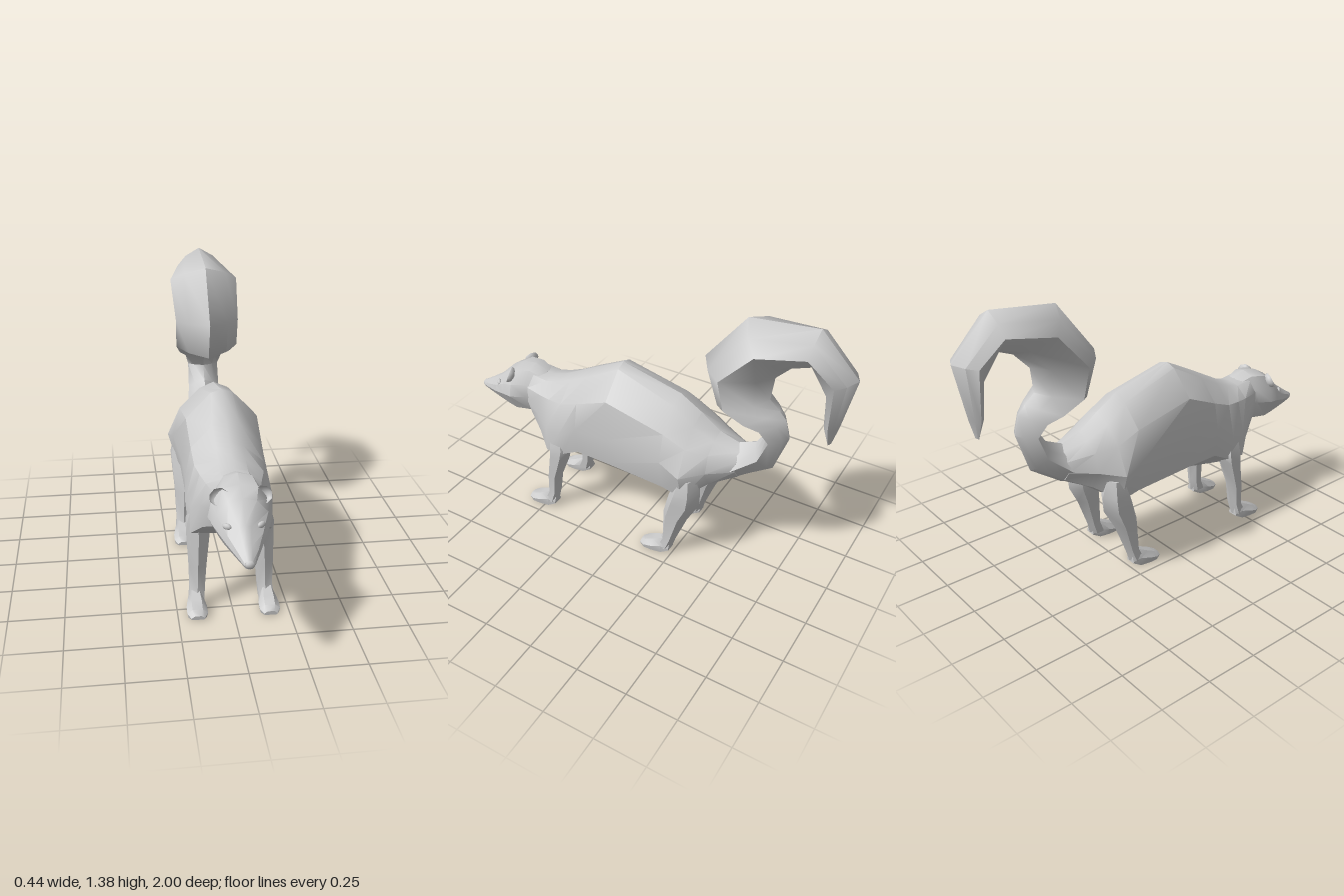
import * as THREE from 'three';
import { toCreasedNormals } from 'three/addons/utils/BufferGeometryUtils.js';

const material = new THREE.MeshStandardMaterial({ color: 0xcccccc });
const thinMaterial = new THREE.MeshStandardMaterial({ color: 0xcccccc, side: THREE.DoubleSide });

// Skin a list of equal-length rings of [x, y, z] points and close both ends.
function loft(rings, crease = 0.6) {
  const n = rings[0].length;
  const points = rings.flat();
  const tris = [];
  for (let i = 0; i < rings.length - 1; i++) {
    for (let j = 0; j < n; j++) {
      const a = i * n + j, b = i * n + (j + 1) % n;
      tris.push([a, b, a + n], [b, b + n, a + n]);
    }
  }
  for (const end of [0, rings.length - 1]) {
    const centre = [0, 1, 2].map(k => rings[end].reduce((s, p) => s + p[k], 0) / n);
    const c = points.push(centre) - 1;
    for (let j = 0; j < n; j++) {
      const a = end * n + j, b = end * n + (j + 1) % n;
      tris.push(end === 0 ? [c, b, a] : [c, a, b]);
    }
  }
  // Turn the faces outward if the enclosed volume comes out negative.
  const v = points.map(p => new THREE.Vector3(...p));
  const volume = tris.reduce((s, [a, b, c]) => s + v[a].dot(v[b].clone().cross(v[c])), 0);
  if (volume < 0) tris.forEach(t => t.reverse());
  const geometry = new THREE.BufferGeometry();
  geometry.setAttribute('position', new THREE.Float32BufferAttribute(points.flat(), 3));
  geometry.setIndex(tris.flat());
  return toCreasedNormals(geometry, crease);
}

// Complete a ring from its half at x >= 0, listed from top to bottom.
function mirrorRing(half) {
  return [...half, ...half.slice(1, -1).reverse().map(([x, y, z]) => [-x, y, z])];
}

function add(parent, name, geometry, mat = material) {
  const mesh = new THREE.Mesh(geometry, mat);
  mesh.name = name;
  parent.add(mesh);
  return mesh;
}

// Body stations: z, top y, then (x, y) of back, rib, flank and belly edges, bottom y
const BODY = [
  [0.63, 0.71, 0.06, 0.70, 0.10, 0.64, 0.105, 0.56, 0.08, 0.48, 0.46],
  [0.54, 0.70, 0.06, 0.69, 0.12, 0.64, 0.145, 0.54, 0.135, 0.435, 0.41],
  [0.47, 0.722, 0.06, 0.71, 0.14, 0.65, 0.18, 0.50, 0.183, 0.37, 0.36],
  [0.39, 0.765, 0.06, 0.745, 0.155, 0.66, 0.197, 0.49, 0.185, 0.37, 0.335],
  [0.29, 0.82, 0.065, 0.80, 0.16, 0.70, 0.187, 0.56, 0.172, 0.42, 0.29],
  [0.12, 0.91, 0.05, 0.895, 0.165, 0.775, 0.187, 0.57, 0.175, 0.42, 0.30],
  [-0.19, 0.84, 0.07, 0.81, 0.168, 0.71, 0.202, 0.57, 0.168, 0.40, 0.32],
  [-0.30, 0.775, 0.08, 0.74, 0.16, 0.66, 0.22, 0.53, 0.18, 0.39, 0.365],
  [-0.40, 0.705, 0.065, 0.685, 0.12, 0.64, 0.145, 0.55, 0.10, 0.46, 0.435],
  [-0.52, 0.67, 0.04, 0.655, 0.075, 0.62, 0.085, 0.57, 0.05, 0.52, 0.50],
];

// Tail stations: (z, y) of outer edge, side ridge and inner edge, half width
const TAIL = [
  [-0.40, 0.69, -0.40, 0.58, -0.40, 0.46, 0.11],
  [-0.48, 0.67, -0.50, 0.57, -0.51, 0.49, 0.095],
  [-0.58, 0.717, -0.62, 0.67, -0.668, 0.60, 0.08],
  [-0.625, 0.785, -0.665, 0.785, -0.733, 0.79, 0.078],
  [-0.59, 0.853, -0.625, 0.845, -0.71, 0.88, 0.095],
  [-0.48, 0.88, -0.565, 0.88, -0.675, 0.92, 0.13],
  [-0.375, 0.90, -0.475, 0.94, -0.626, 0.963, 0.155],
  [-0.305, 1.085, -0.444, 1.08, -0.64, 1.08, 0.157],
  [-0.497, 1.335, -0.604, 1.257, -0.716, 1.16, 0.17],
  [-0.818, 1.375, -0.813, 1.283, -0.813, 1.20, 0.115],
  [-1.0, 1.187, -0.93, 1.176, -0.87, 1.07, 0.10],
  [-0.945, 0.93, -0.91, 0.925, -0.877, 0.92, 0.045],
  [-0.92, 0.84, -0.91, 0.836, -0.90, 0.85, 0.014],
];

// Head stations: z, top y, bottom y, half width, share of the width kept at the top
const HEAD = [
  [0.57, 0.705, 0.48, 0.085, 0.55],
  [0.64, 0.73, 0.465, 0.11, 0.55],
  [0.72, 0.715, 0.46, 0.135, 0.55],
  [0.78, 0.68, 0.465, 0.118, 0.5],
  [0.86, 0.60, 0.468, 0.08, 0.3],
  [0.93, 0.55, 0.47, 0.047, 0.35],
  [0.985, 0.512, 0.475, 0.022, 0.55],
];

// Leg stations: y, front z, back z, inner x, outer x
const FRONT_LEG = [
  [0.48, 0.46, 0.38, 0.11, 0.175],
  [0.40, 0.475, 0.345, 0.10, 0.195],
  [0.34, 0.475, 0.36, 0.095, 0.195],
  [0.20, 0.487, 0.412, 0.112, 0.19],
  [0.09, 0.488, 0.425, 0.12, 0.188],
  [0.03, 0.52, 0.435, 0.125, 0.195],
];
const HIND_LEG = [
  [0.50, -0.27, -0.36, 0.11, 0.19],
  [0.42, -0.24, -0.38, 0.08, 0.205],
  [0.34, -0.21, -0.374, 0.075, 0.20],
  [0.24, -0.19, -0.32, 0.105, 0.192],
  [0.09, -0.19, -0.262, 0.12, 0.188],
  [0.03, -0.16, -0.245, 0.125, 0.195],
];

function legGeometry(stations) {
  return loft(stations.map(([y, front, back, inner, outer]) =>
    Array.from({ length: 6 }, (_, i) => {
      const a = (i / 6) * Math.PI * 2;
      return [
        (inner + outer) / 2 + Math.sin(a) / 0.866 * (outer - inner) / 2,
        y,
        (front + back) / 2 + Math.cos(a) * (front - back) / 2,
      ];
    })));
}

// Foot running forward from the heel: z offset, half width, top y, sole y
function footGeometry(heel) {
  const stations = [[0, 0.026, 0.06, 0.022], [0.04, 0.036, 0.085, 0], [0.09, 0.046, 0.058, 0],
    [0.13, 0.046, 0.038, 0], [0.158, 0.03, 0.022, 0.004]];
  return loft(stations.map(([dz, w, top, sole]) => [
    [-w * 0.9, sole], [-w, top * 0.5], [-w * 0.5, top], [w * 0.5, top], [w, top * 0.5], [w * 0.9, sole],
  ].map(([x, y]) => [0.163 + x, y, heel + dz])));
}

export function createModel() {
  const model = new THREE.Group();
  model.name = 'bushyTailedAnimal';

  add(model, 'body', loft(BODY.map(([z, top, x1, y1, x2, y2, x3, y3, x4, y4, bottom]) =>
    mirrorRing([[0, top, z], [x1, y1, z], [x2, y2, z], [x3, y3, z], [x4, y4, z], [0, bottom, z]]))));

  add(model, 'tail', loft(TAIL.map(([az, ay, rz, ry, bz, by, w]) => mirrorRing([
    [0, ay, az],
    [w * 0.62, ay * 0.56 + ry * 0.44, az * 0.56 + rz * 0.44],
    [w, ry, rz],
    [w * 0.5, ry * 0.28 + by * 0.72, rz * 0.28 + bz * 0.72],
    [0, by, bz],
  ])), 0.9));

  const head = new THREE.Group();
  head.name = 'head';
  model.add(head);
  add(head, 'skull', loft(HEAD.map(([z, top, bottom, w, bridge]) => {
    const h = top - bottom;
    return mirrorRing([[0, top, z], [w * bridge, top - h * 0.06, z], [w * 0.9, bottom + h * 0.7, z],
      [w, bottom + h * 0.45, z], [w * 0.65, bottom + h * 0.08, z], [0, bottom, z]]);
  })));
  const nose = add(head, 'nose', new THREE.SphereGeometry(1, 8, 6));
  nose.scale.set(0.022, 0.018, 0.016);
  nose.position.set(0, 0.495, 0.983);

  // Paired parts
  for (const [side, s] of [['left', 1], ['right', -1]]) {
    // Cupped ear, open to the front
    const cup = new THREE.SphereGeometry(1, 8, 4, 0, Math.PI * 2, 0, Math.PI / 2).rotateX(-Math.PI / 2);
    const ear = add(head, side + 'Ear', cup, thinMaterial);
    ear.scale.set(0.042, 0.036, 0.03);
    ear.position.set(s * 0.092, 0.676, 0.745);
    ear.rotation.set(-0.35, s * 0.35, -s * 0.5);

    const eye = add(head, side + 'Eye', new THREE.SphereGeometry(1, 8, 6));
    eye.scale.set(0.022, 0.014, 0.012);
    eye.position.set(s * 0.07, 0.587, 0.835);
    eye.rotation.y = s * 0.7;

    for (const [name, stations, heel] of [['FrontLeg', FRONT_LEG, 0.44], ['HindLeg', HIND_LEG, -0.24]]) {
      const leg = new THREE.Group();
      leg.name = side + name;
      model.add(leg);
      for (const [part, geometry] of [['limb', legGeometry(stations)], ['foot', footGeometry(heel)]]) {
        add(leg, part, geometry).scale.x = s;
      }
    }
  }
  return model;
}
